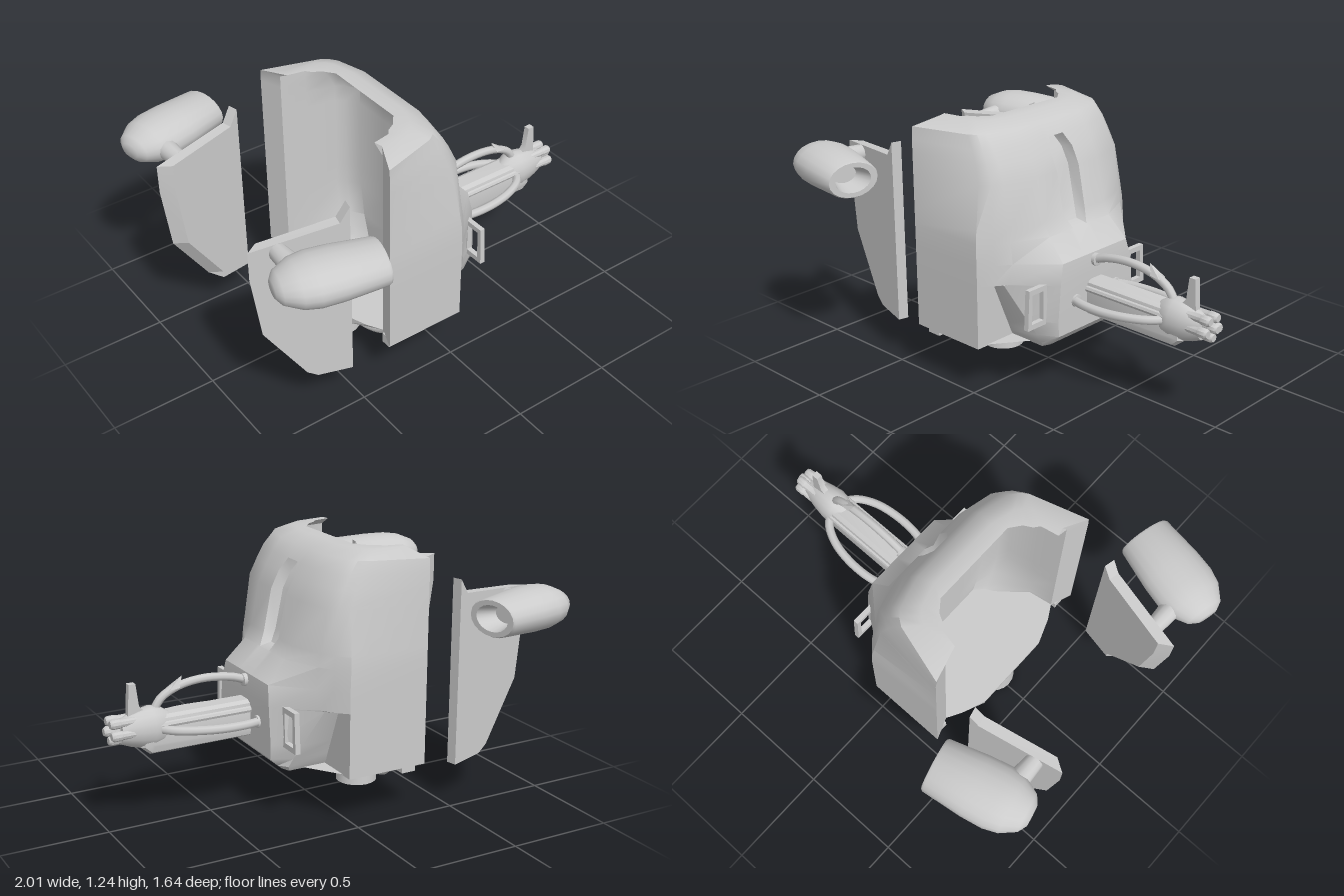
import * as THREE from 'three';
import { toCreasedNormals } from 'three/addons/utils/BufferGeometryUtils.js';
import { ConvexGeometry } from 'three/addons/geometries/ConvexGeometry.js';

const mat = new THREE.MeshStandardMaterial({ color: 0xcccccc, side: THREE.DoubleSide });
const V = (x, y, z) => new THREE.Vector3(x, y, z);

function add(parent, name, geo, crease = 0.6) {
  const g = geo.index ? geo.toNonIndexed() : geo;
  const m = new THREE.Mesh(toCreasedNormals(g, crease), mat);
  m.name = name;
  parent.add(m);
  return m;
}
const tube = (pts, r, n = 20) =>
  new THREE.TubeGeometry(new THREE.CatmullRomCurve3(pts.map(p => V(...p))), n, r, 8);
const shape = pts => new THREE.Shape(pts.map(p => new THREE.Vector2(...p)));
// Lathe whose axis runs along +x; profile points are [x, radius]
const latheX = (pts, n) =>
  new THREE.LatheGeometry(pts.map(([x, r]) => new THREE.Vector2(r, x)), n).rotateZ(-Math.PI / 2);

// Cabin levels: y, front x, front half width, corner x, corner z, side x, side z, rear x, rear z
const LEVELS = [
  [0.235, 0.24, 0.23, 0.225, 0.27, 0.04, 0.495, -0.36, 0.495],
  [0.26, 0.27, 0.245, 0.235, 0.285, 0.04, 0.495, -0.36, 0.495],
  [0.30, 0.31, 0.25, 0.22, 0.30, 0.04, 0.495, -0.36, 0.495],
  [0.37, 0.31, 0.255, 0.19, 0.33, 0.04, 0.495, -0.36, 0.495],
  [0.54, 0.31, 0.24, 0.115, 0.40, 0.04, 0.495, -0.36, 0.495],
  [0.545, 0.31, 0.24, 0.13, 0.39, 0.04, 0.495, -0.36, 0.495],
  [0.64, 0.30, 0.215, 0.14, 0.37, 0.04, 0.495, -0.36, 0.495],
  [0.74, 0.205, 0.20, 0.13, 0.37, 0.035, 0.492, -0.36, 0.495],
  [0.80, 0.17, 0.20, 0.12, 0.37, 0.03, 0.482, -0.36, 0.495],
  [1.00, 0.13, 0.20, 0.09, 0.37, 0.01, 0.445, -0.36, 0.495],
  [1.08, 0.09, 0.20, 0.055, 0.36, -0.02, 0.43, -0.36, 0.495],
  [1.14, 0.055, 0.20, 0.02, 0.36, -0.05, 0.42, -0.36, 0.495],
  [1.20, 0.01, 0.20, -0.03, 0.35, -0.09, 0.41, -0.36, 0.49],
  [1.235, -0.07, 0.18, -0.10, 0.29, -0.16, 0.35, -0.31, 0.37],
];
const NOTCH_TOP = 4, SLOT_LOW = 7, SLOT_HIGH = 11;

function cabinGeometry() {
  const mirror = h => [...h, ...h.slice().reverse().map(([x, z]) => [x, -z])];
  const rings = LEVELS.map(([y, xf, zf, xm, zm, xs, zs, xr, zr], i) => {
    const notch = i <= NOTCH_TOP ? [xs, zm] : [(xs + xm) / 2 + 0.005, (zs + zm) / 2 + 0.005];
    const outer = mirror([[xr, zr], [xs, zs], notch, [xm, zm], [xf, zf], [xf, 0.072], [xf, 0.045]]);
    const k = i === LEVELS.length - 1 ? 0.85 : 1, xi = Math.min(xf - 0.065, 0.02);
    // The inner wall narrows beside the cheek notches
    const zi = i <= NOTCH_TOP ? Math.min(0.34, zm - 0.02) : 0.34 * k;
    const inner = mirror([[-0.32, 0.39 * k], [Math.min(-0.2, xi - 0.1), 0.37 * k], [xi - 0.08, zi],
      [xi - 0.04, zi * 0.92], [xi, zi * 0.74], [xi, 0.07], [xi, 0.04]]);
    return [...outer, ...inner.reverse()].map(([x, z]) => V(x, y, z));
  });
  const pos = [], N = 28, last = rings.length - 1;
  const face = (...p) => {
    for (let i = 1; i < p.length - 1; i++) for (const v of [p[0], p[i], p[i + 1]]) pos.push(v.x, v.y, v.z);
  };
  for (let i = 0; i < last; i++) for (let j = 0; j < N; j++) {
    const k = (j + 1) % N, a = rings[i][j], b = rings[i][k], c = rings[i + 1][k], d = rings[i + 1][j];
    const inSlot = i >= SLOT_LOW && i < SLOT_HIGH && j >= 5 && j <= 7;
    if (!inSlot) face(a, b, c, d);
    else if (j !== 6 && i === SLOT_LOW) face(a, b, j === 5 ? d : c);
    else if (j !== 6 && i === SLOT_HIGH - 1) face(j === 5 ? a : b, c, d);
  }
  // Roof and lower edge join the outer and inner walls
  for (let j = 0; j < 13; j++) {
    const t = rings[last], b = rings[0];
    face(t[j], t[j + 1], t[26 - j], t[27 - j]);
    face(b[27 - j], b[26 - j], b[j + 1], b[j]);
  }
  // Recessed window slot
  const loop = [rings[SLOT_LOW][6], rings[SLOT_LOW][7]];
  for (let i = SLOT_LOW + 1; i < SLOT_HIGH; i++) loop.push(rings[i][8]);
  loop.push(rings[SLOT_HIGH][7], rings[SLOT_HIGH][6]);
  for (let i = SLOT_HIGH - 1; i > SLOT_LOW; i--) loop.push(rings[i][5]);
  const L = loop.length;
  const deep = loop.map(p => V(p.x - 0.055, p.y + (0.94 - p.y) * 0.07, p.z * 0.84));
  loop.forEach((p, i) => face(p, loop[(i + 1) % L], deep[(i + 1) % L], deep[i]));
  for (let i = 0; i < L / 2 - 1; i++) face(deep[(L - i) % L], deep[i + 1], deep[i + 2], deep[L - i - 1]);
  const g = new THREE.BufferGeometry();
  g.setAttribute('position', new THREE.Float32BufferAttribute(pos, 3));
  return g;
}

function buildBody() {
  const body = new THREE.Group();
  body.name = 'body';
  body.position.z = 0.01;
  add(body, 'cabinShell', cabinGeometry(), 0.65);

  // Floor with a sloping underside
  const floor = [];
  for (const s of [1, -1]) {
    for (const [x, z] of [[-0.405, 0.2], [-0.36, 0.32], [-0.32, 0.39], [0.03, 0.45], [0.2, 0.21]])
      floor.push(V(x, 0.24, z * s));
    floor.push(V(-0.4, 0.195, 0.2 * s), V(-0.34, 0.195, 0.28 * s), V(-0.15, 0.195, 0.24 * s));
  }
  add(body, 'floor', new ConvexGeometry(floor), 0.2);

  // Mounting post below
  add(body, 'mountPost', new THREE.CylinderGeometry(0.09, 0.1, 0.2, 20).translate(-0.295, 0.1, 0));

  for (const s of [1, -1]) {
    add(body, 'underHose', tube([[-0.26, 0.21, 0.36 * s], [-0.265, 0.155, 0.31 * s], [-0.28, 0.12, 0.21 * s],
      [-0.3, 0.13, 0.14 * s], [-0.32, 0.16, 0.08 * s]], 0.018), 1);
    add(body, 'underBlock', new THREE.BoxGeometry(0.07, 0.05, 0.05).translate(-0.3, 0.215, 0.43 * s));

    // Open rectangular bracket on each cheek
    const f = shape([[-0.06, -0.095], [0.065, -0.095], [0.055, 0.095], [-0.06, 0.095]]);
    f.holes.push(shape([[-0.035, -0.07], [-0.035, 0.07], [0.035, 0.07], [0.04, -0.07]]));
    const b = add(body, 'cheekBracket',
      new THREE.ExtrudeGeometry(f, { depth: 0.025, bevelEnabled: false }).rotateY(-Math.PI / 2));
    b.scale.z = s;
    b.position.set(0.262, 0.457, 0.335 * s);
  }
  return body;
}

function buildGun() {
  const gun = new THREE.Group();
  gun.name = 'gun';
  gun.position.z = 0.013;
  const side = shape([[0.28, 0.345], [0.8, 0.345], [0.84, 0.38], [0.82, 0.5], [0.74, 0.52], [0.28, 0.52]]);
  add(gun, 'gunBody', new THREE.ExtrudeGeometry(side, {
    depth: 0.07, bevelEnabled: true, bevelSize: 0.04, bevelOffset: -0.04, bevelThickness: 0.03, bevelSegments: 2,
  }).translate(0, 0, -0.035), 0.5);
  for (const s of [1, -1])
    add(gun, 'sideRail', new THREE.CylinderGeometry(0.016, 0.016, 0.45, 8)
      .rotateZ(Math.PI / 2).translate(0.53, 0.48, 0.058 * s));

  // Tapered muzzle block with its barrels
  const head = add(gun, 'muzzleBlock', latheX([[0.68, 0], [0.69, 0.06], [0.74, 0.093], [0.78, 0.1], [0.84, 0.088],
    [0.885, 0.075], [0.925, 0.058], [0.93, 0]], 16), 0.7);
  head.scale.z = 0.8;
  head.position.y = 0.46;
  for (let i = 0; i < 6; i++) {
    const a = i * Math.PI * 2 / 5, r = i < 5 ? 0.046 : 0, end = i < 5 ? 0.98 : 1;
    add(gun, 'barrel', latheX([[0.85, 0.02], [end - 0.05, 0.02], [end - 0.045, 0.023], [end - 0.01, 0.023],
      [end, 0.017], [end, 0]], 10).translate(0, 0.473 - r * Math.cos(a), r * Math.sin(a)));
  }
  const fin = shape([[0.8, 0.53], [0.89, 0.51], [0.88, 0.675], [0.848, 0.675], [0.835, 0.57]]);
  add(gun, 'sightFin', new THREE.ExtrudeGeometry(fin, { depth: 0.03, bevelEnabled: false }).translate(0, 0, -0.015));

  // Feed hoses with end collars
  add(gun, 'topHose', tube([[0.29, 0.6, 0], [0.38, 0.63, 0], [0.52, 0.645, 0], [0.65, 0.625, 0],
    [0.73, 0.58, 0], [0.77, 0.51, 0]], 0.02), 1);
  add(gun, 'hoseClip', new ConvexGeometry([V(0.62, 0.675, 0), V(0.69, 0.62, 0.022), V(0.69, 0.62, -0.022),
    V(0.64, 0.625, 0.022), V(0.64, 0.625, -0.022)]), 0.2);
  add(gun, 'hoseCollar', latheX([[0.28, 0.03], [0.32, 0.03], [0.325, 0]], 12).translate(0, 0.605, 0));
  for (const s of [1, -1]) {
    add(gun, 'sideHose', tube([[0.29, 0.445, 0.135 * s], [0.38, 0.448, 0.16 * s], [0.5, 0.452, 0.165 * s],
      [0.62, 0.458, 0.145 * s], [0.71, 0.46, 0.1 * s], [0.76, 0.46, 0.04 * s]], 0.021), 1);
    add(gun, 'hoseCollar', latheX([[0.28, 0.03], [0.32, 0.03], [0.325, 0]], 12).translate(0, 0.445, 0.135 * s));
  }
  return gun;
}

function buildOutrigger() {
  const g = new THREE.Group();
  // Flattened pod with a hollow front
  const pod = add(g, 'pod', latheX([[-0.465, 0], [-0.463, 0.05], [-0.44, 0.09], [-0.37, 0.133], [-0.3, 0.147],
    [-0.2, 0.145], [-0.01, 0.127], [0, 0.12], [0, 0.088], [-0.1, 0.06], [-0.1, 0]], 20), 0.7);
  pod.scale.y = 0.68;
  pod.rotation.y = -0.24;
  pod.position.set(-0.545, 0.953, 0.7);

  add(g, 'podStrut', new THREE.CylinderGeometry(0.05, 0.04, 0.13, 12)
    .rotateX(Math.PI / 2).translate(-0.85, 0.95, 0.465));

  // Tall slanted shield plate, chamfered along its rear edge
  const s = shape([[0, 0.98], [0, 0.84], [0.04, 0.53], [0.23, 0.24], [0.28, 0.205], [0.445, 0.19],
    [0.445, 1.08], [0.4, 1.01]]);
  const geo = new THREE.ExtrudeGeometry(s, { depth: 0.05, bevelEnabled: false });
  const p = geo.attributes.position;
  for (let i = 0; i < p.count; i++)
    if (p.getZ(i) < 0.01 && p.getX(i) < 0.25) p.setX(i, p.getX(i) + 0.05);
  const plate = add(g, 'shieldPlate', geo, 0.2);
  plate.rotation.y = -0.225;
  plate.position.set(-0.963, 0, 0.326);
  return g;
}

export function createModel() {
  const model = new THREE.Group();
  model.name = 'turret';
  model.add(buildBody(), buildGun());
  for (const s of [1, -1]) {
    const o = buildOutrigger();
    o.name = s > 0 ? 'frontOutrigger' : 'rearOutrigger';
    o.scale.z = s;
    model.add(o);
  }
  return model;
}
